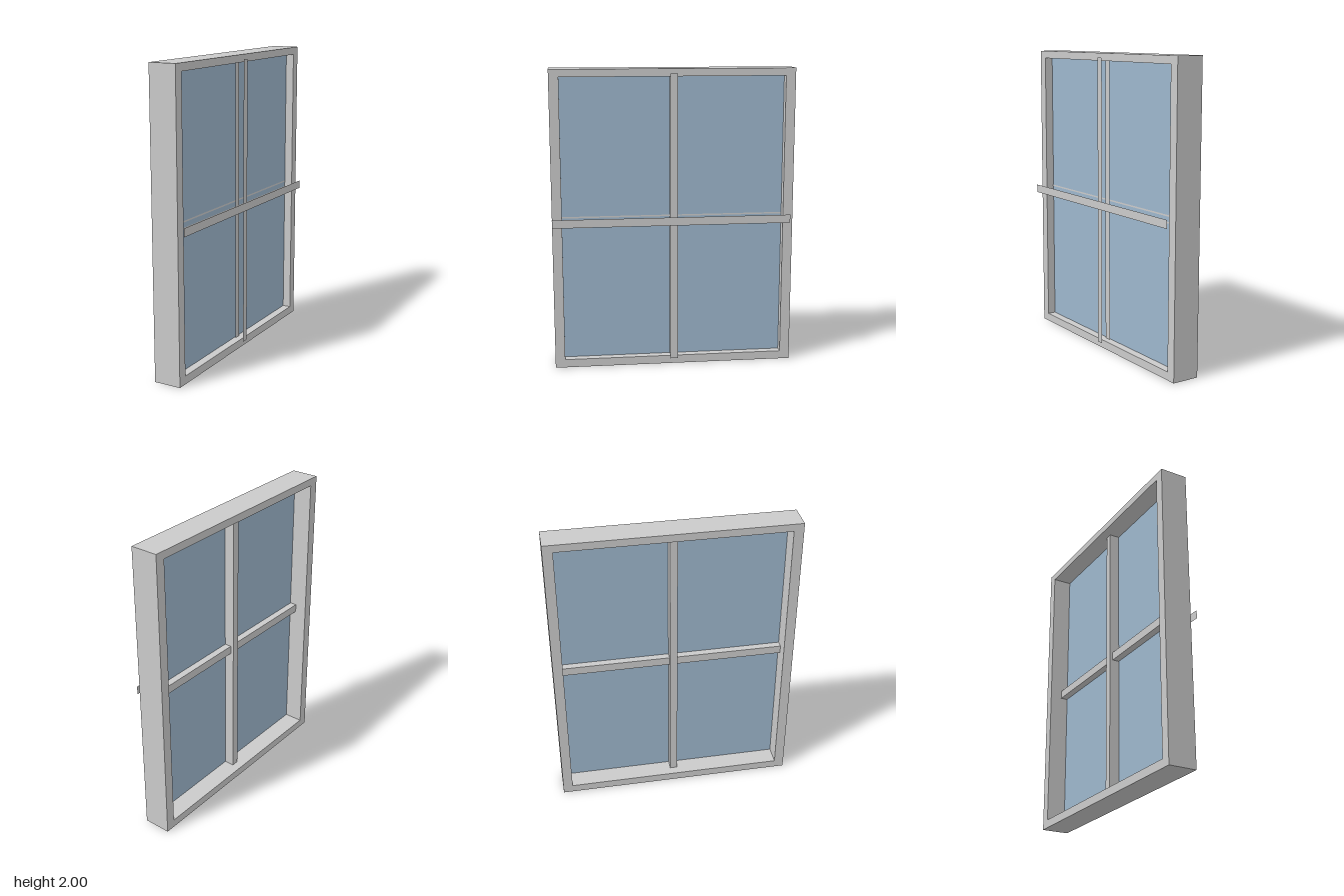
import * as THREE from 'three';

export function createModel() {
  const group = new THREE.Group();
  const paint = new THREE.MeshStandardMaterial({ color: 0xcacaca, side: THREE.DoubleSide });
  paint.name = 'grey paint';
  const pane = new THREE.MeshStandardMaterial({ color: 0x9db6cc, side: THREE.DoubleSide });
  pane.name = 'blue glass';

  const add = (name, geometry, material) => {
    const mesh = new THREE.Mesh(geometry, material);
    mesh.name = name;
    group.add(mesh);
    return mesh;
  };

  // box given by its limits on each axis
  const block = (name, [x0, x1], [y0, y1], [z0, z1], material = paint) =>
    add(name, new THREE.BoxGeometry(x1 - x0, y1 - y0, z1 - z0), material)
      .position.set((x0 + x1) / 2, (y0 + y1) / 2, (z0 + z1) / 2);

  // upright plate facing +x
  const plate = (name, x, [y0, y1], [z0, z1], material = paint) => {
    const geometry = new THREE.PlaneGeometry(z1 - z0, y1 - y0).rotateY(Math.PI / 2);
    add(name, geometry, material).position.set(x, (y0 + y1) / 2, (z0 + z1) / 2);
  };

  const rectangle = (path, w, y0, y1) => {
    path.moveTo(-w, y0);
    path.lineTo(w, y0);
    path.lineTo(w, y1);
    path.lineTo(-w, y1);
    path.closePath();
    return path;
  };

  // outer frame: a rectangle with one opening, extruded through the wall depth
  const outline = rectangle(new THREE.Shape(), 0.805, 0, 2);
  outline.holes.push(rectangle(new THREE.Path(), 0.74, 0.055, 1.95));
  const frame = new THREE.ExtrudeGeometry(outline, { depth: 0.185, bevelEnabled: false });
  frame.rotateY(Math.PI / 2).translate(-0.115, 0, 0);
  add('frame', frame, paint);

  // glass
  plate('glass', 0.014, [0.055, 1.95], [-0.74, 0.74], pane);

  // glazing bars behind the glass
  block('backMullion', [-0.055, 0.013], [0.055, 1.95], [-0.025, 0.025]);
  for (const side of [-1, 1]) {
    const ends = [side * 0.025, side * 0.74].sort((a, b) => a - b);
    block('backCrossbar', [-0.034, 0.013], [0.975, 1.03], ends);
  }

  // thin bar facings in front of the glass
  plate('innerMullionFacing', 0.026, [0.055, 1.95], [-0.025, 0.025]);
  plate('frontMullionFacing', 0.088, [0.04, 1.97], [-0.025, 0.025]);
  plate('frontCrossbarFacing', 0.115, [0.975, 1.03], [-0.78, 0.805]);

  // narrow edge strips on the glass along the crossbar
  for (const y of [0.982, 1.025]) plate('crossbarEdge', 0.017, [y - 0.005, y + 0.005], [-0.74, 0.74]);

  return group;
}
